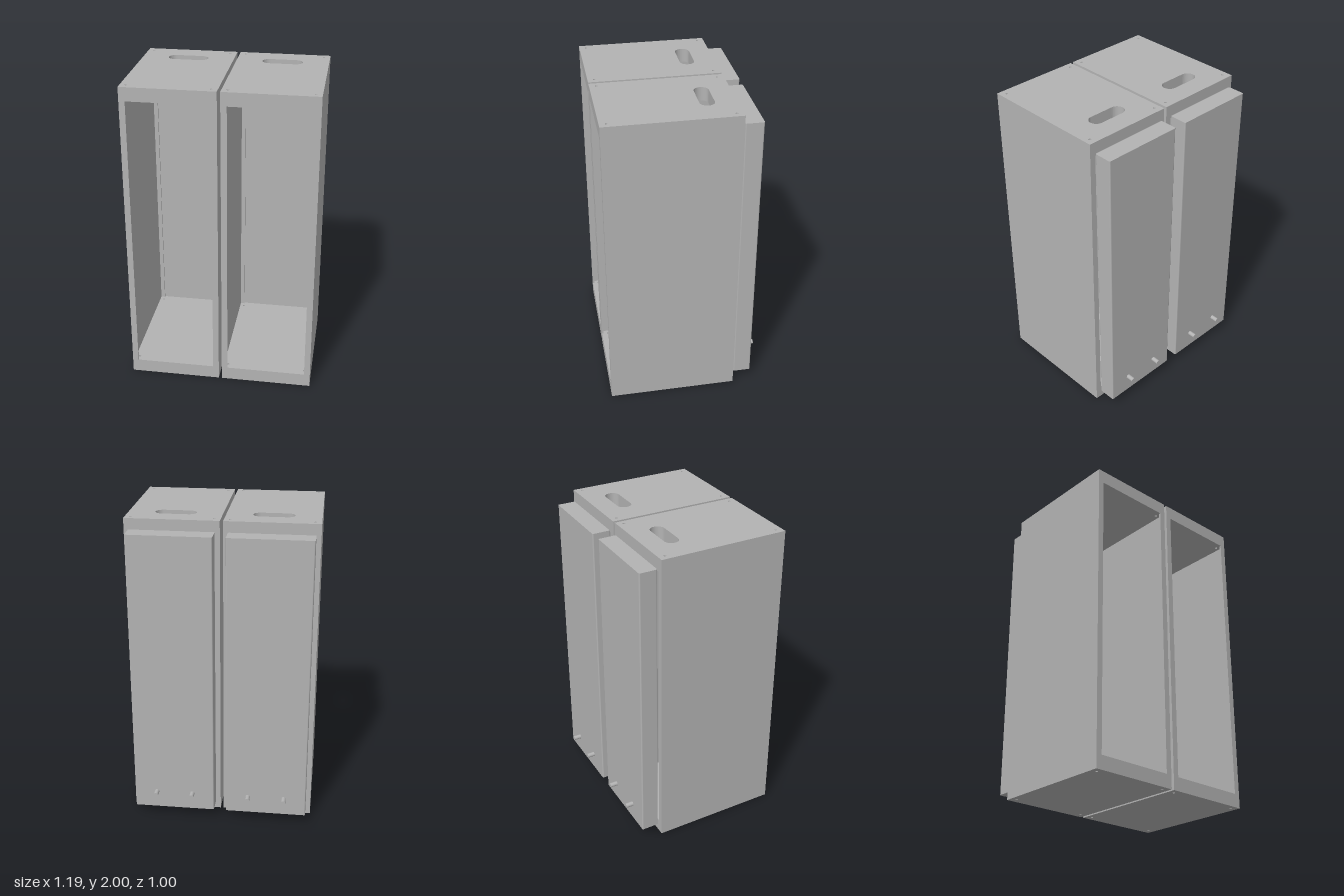
import * as THREE from 'three';

const HALF_W = 0.2925, HALF_D = 0.4125, SLAB = 0.087, HEIGHT = 2;

// Extrude a plan outline upwards from y0 to y1 (shape y becomes -z)
function extrudeUp(shape, y0, y1) {
  const g = new THREE.ExtrudeGeometry(shape, { depth: y1 - y0, bevelEnabled: false, curveSegments: 16 });
  g.rotateX(-Math.PI / 2);
  g.translate(0, y0, 0);
  return g;
}

function roundedRect(w, d, r) {
  const x = w / 2, y = d / 2, s = new THREE.Shape();
  s.absarc(x - r, y - r, r, 0, Math.PI / 2);
  s.absarc(-x + r, y - r, r, Math.PI / 2, Math.PI);
  s.absarc(-x + r, -y + r, r, Math.PI, Math.PI * 1.5);
  s.absarc(x - r, -y + r, r, Math.PI * 1.5, Math.PI * 2);
  s.closePath();
  return s;
}

// Cabinet end plate with four corner bolt holes and an optional hand slot
function plateShape(withSlot) {
  const s = new THREE.Shape([
    new THREE.Vector2(-HALF_W, -HALF_D), new THREE.Vector2(HALF_W, -HALF_D),
    new THREE.Vector2(HALF_W, HALF_D), new THREE.Vector2(-HALF_W, HALF_D),
  ]);
  for (const x of [-0.2535, 0.2535]) for (const y of [-0.37, 0.37]) {
    s.holes.push(new THREE.Path().absarc(x, y, 0.008, 0, Math.PI * 2, true));
  }
  if (withSlot) {
    const slot = new THREE.Path();
    slot.absarc(0.082, 0.236, 0.046, -Math.PI / 2, Math.PI / 2);
    slot.absarc(-0.082, 0.236, 0.046, Math.PI / 2, Math.PI * 1.5);
    slot.closePath();
    s.holes.push(slot);
  }
  return s;
}

// Folded side panel: thin wall with a return lip along each upright edge
function sidePanelShape() {
  const w = HALF_W, d = HALF_D, t = 0.011, lip = 0.038;
  return new THREE.Shape([
    [w, -d], [w, d], [w - lip, d], [w - lip, d - t], [w - t, d - t],
    [w - t, -d + t], [w - lip, -d + t], [w - lip, -d],
  ].map(([x, y]) => new THREE.Vector2(x, y)));
}

export function createModel() {
  const model = new THREE.Group();
  model.name = 'cabinetPair';
  const grey = new THREE.MeshStandardMaterial({ color: 0xb3b3b3 });
  grey.name = 'grey';

  const topGeo = extrudeUp(plateShape(true), HEIGHT - SLAB, HEIGHT);
  const bottomGeo = extrudeUp(plateShape(false), 0, SLAB);
  const sideGeo = extrudeUp(sidePanelShape(), SLAB, HEIGHT - SLAB);
  const boxGeo = extrudeUp(roundedRect(0.525, 0.115, 0.008), 0.063, 1.933);
  const pegGeo = new THREE.CylinderGeometry(0.015, 0.015, 0.055, 24).rotateX(Math.PI / 2);

  for (const side of [-1, 1]) {
    const cabinet = new THREE.Group();
    cabinet.name = side > 0 ? 'leftCabinet' : 'rightCabinet';
    cabinet.position.set(side * 0.3025, 0, 0.0875);
    const add = (name, geo, x = 0, y = 0, z = 0) => {
      const m = new THREE.Mesh(geo, grey);
      m.name = name;
      m.position.set(x, y, z);
      cabinet.add(m);
      return m;
    };

    // Open-ended cabinet shell
    add('topPlate', topGeo);
    add('bottomPlate', bottomGeo);
    add('leftSidePanel', sideGeo);
    add('rightSidePanel', sideGeo).rotation.y = Math.PI;

    // Rear box with two pegs near its foot
    add('rearBox', boxGeo, 0, 0, -0.48);
    for (const x of [-0.118, 0.118]) add('peg', pegGeo, x, 0.178, -0.56);

    model.add(cabinet);
  }
  return model;
}
